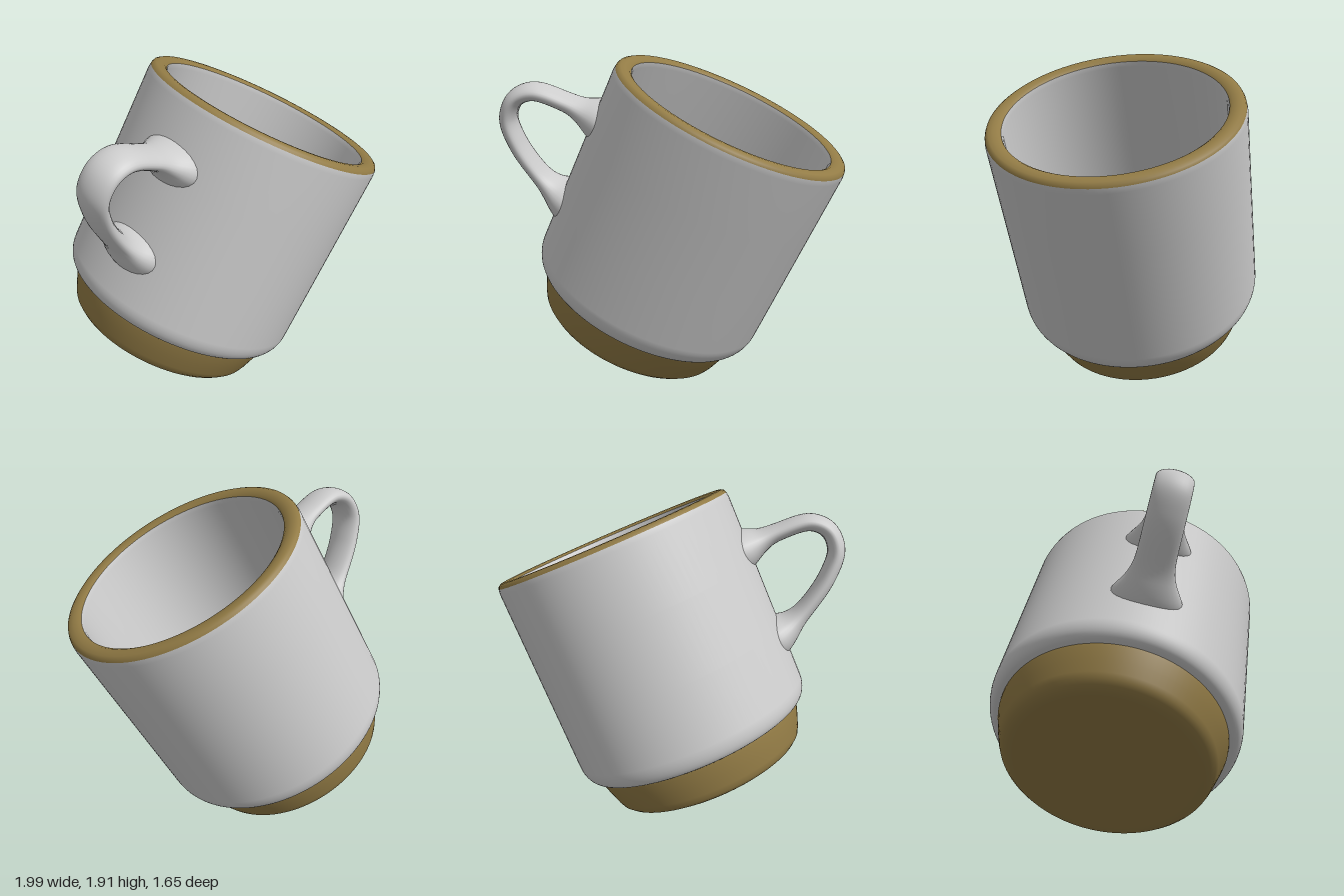
import * as THREE from 'three';

const glaze = new THREE.MeshStandardMaterial({ color: 0xcccccc });
const clay = new THREE.MeshStandardMaterial({ color: 0x927b45 });

// Smooth turned part from [radius, height] points, listed so that it faces outwards
function turned(name, profile, material) {
  const points = profile.map(([r, h]) => new THREE.Vector2(r, h));
  const mesh = new THREE.Mesh(new THREE.LatheGeometry(points, 96), material);
  mesh.name = name;
  return mesh;
}

// Rounded corner between two directions, as [radius, height] points
function arc(cx, cy, rx, ry, from, to, steps) {
  return Array.from({ length: steps + 1 }, (_, i) => {
    const a = from + (to - from) * i / steps;
    return [cx + rx * Math.cos(a), cy + ry * Math.sin(a)];
  });
}

// Flattened loop that flares where it meets the body
function handleGeometry() {
  const path = new THREE.CatmullRomCurve3([
    [0.66, 1.165], [0.77, 1.172], [0.90, 1.18], [1.09, 1.16], [1.168, 1.08], [1.168, 0.96],
    [1.07, 0.837], [0.909, 0.722], [0.77, 0.655], [0.66, 0.625],
  ].map(([r, h]) => new THREE.Vector3(-r, h, 0)));
  const rows = 72, sides = 28, positions = [], index = [];
  for (let i = 0; i <= rows; i++) {
    const p = path.getPointAt(i / rows), t = path.getTangentAt(i / rows);
    const flare = Math.exp(-(((-p.x - 0.66) / 0.12) ** 2));
    const thick = 0.05 + 0.075 * flare, wide = 0.108 + 0.095 * flare;
    for (let j = 0; j < sides; j++) {
      const a = j / sides * Math.PI * 2;
      const u = Math.cos(a) * thick;
      positions.push(p.x - t.y * u, p.y + t.x * u, Math.sin(a) * wide);
    }
  }
  for (let i = 0; i < rows; i++) {
    for (let j = 0; j < sides; j++) {
      const k = (j + 1) % sides;
      const a = i * sides + j, b = i * sides + k, c = a + sides, d = b + sides;
      index.push(a, b, c, b, d, c);
    }
  }
  const geometry = new THREE.BufferGeometry();
  geometry.setAttribute('position', new THREE.Float32BufferAttribute(positions, 3));
  geometry.setIndex(index);
  geometry.computeVertexNormals();
  return geometry;
}

export function createModel() {
  const mug = new THREE.Group();
  mug.name = 'mug';
  const half = Math.PI / 2;

  // Unglazed tapered foot with a flat underside
  mug.add(turned('foot', [
    [0, 0], [0.5, 0], [0.53, 0.003], [0.56, 0.016], [0.583, 0.038], [0.597, 0.07],
    [0.62, 0.14], [0.642, 0.215], [0.645, 0.25],
  ], clay));

  // Outer wall with a rounded lower edge
  mug.add(turned('body', [
    [0.635, 0.235], ...arc(0.655, 0.35, 0.063, 0.11, -half, 0, 8),
    [0.718, 0.7], [0.718, 1.1], [0.718, 1.47], [0.713, 1.5],
  ], glaze));

  // Unglazed lip
  mug.add(turned('rim', [
    [0.713, 1.5], [0.706, 1.514], [0.69, 1.524], [0.665, 1.526], [0.638, 1.522], [0.622, 1.51],
  ], clay));

  // Inner wall and floor
  mug.add(turned('interior', [
    [0.622, 1.51], [0.617, 1.48], [0.617, 1.0],
    ...arc(0.417, 0.46, 0.2, 0.2, 0, -half, 10), [0.2, 0.255], [0, 0.255],
  ], glaze));

  const handle = new THREE.Mesh(handleGeometry(), glaze);
  handle.name = 'handle';
  mug.add(handle);

  // Tilt the whole mug
  const up = new THREE.Vector3(0.394, 0.892, 0.22).normalize();
  const side = new THREE.Vector3(0.916, -0.4, -0.02);
  side.addScaledVector(up, -side.dot(up)).normalize();
  const front = new THREE.Vector3().crossVectors(side, up);
  mug.quaternion.setFromRotationMatrix(new THREE.Matrix4().makeBasis(side, up, front));
  mug.position.set(-0.26, 0.245, -0.215);

  const model = new THREE.Group();
  model.name = 'tiltedMug';
  model.add(mug);
  return model;
}
